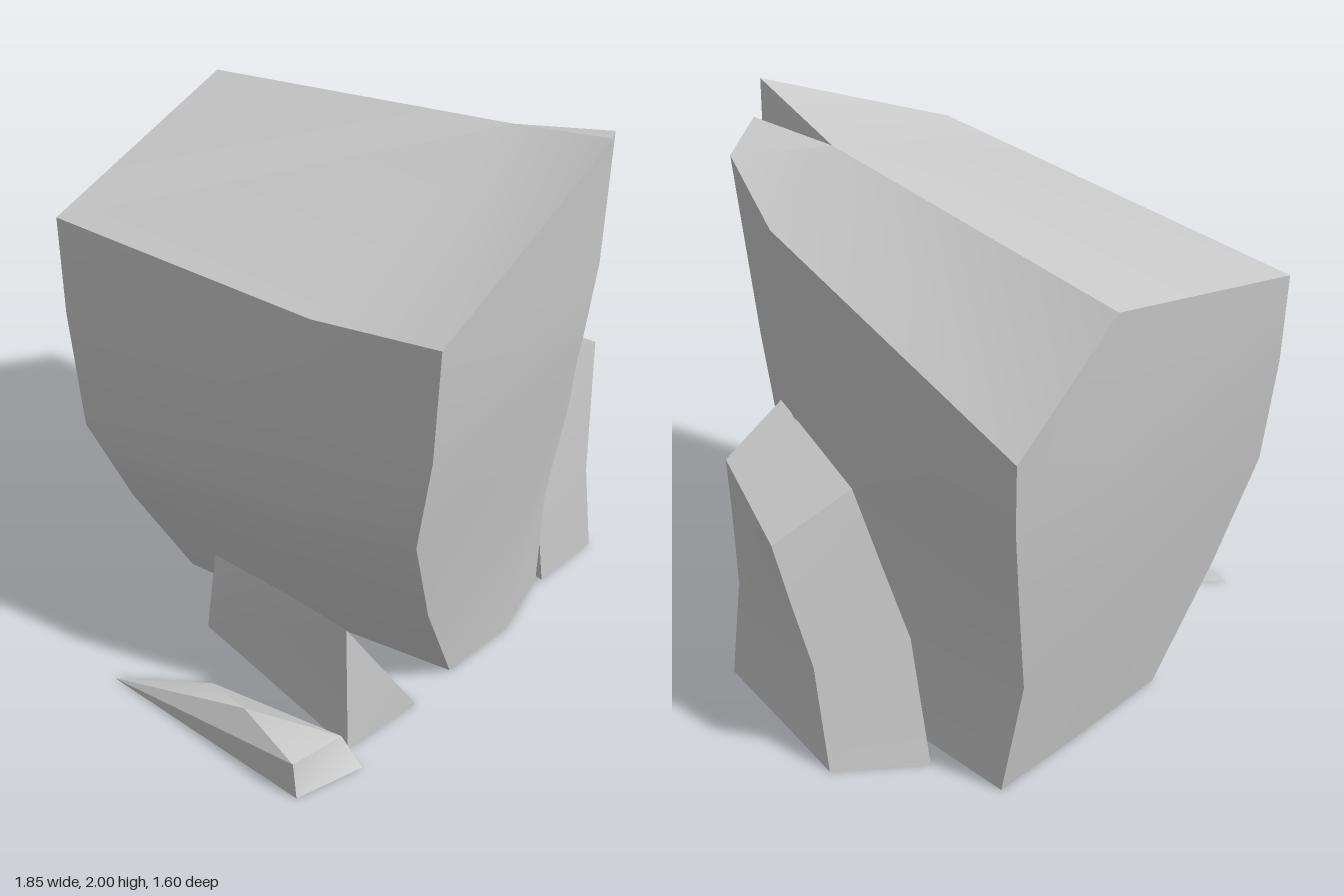
import * as THREE from 'three';
import { toCreasedNormals } from 'three/addons/utils/BufferGeometryUtils.js';

const material = new THREE.MeshStandardMaterial({ color: 0xcccccc, side: THREE.DoubleSide });

// Builds a rock from polygons, each given as a fan of corner points
function rock(name, polygons) {
  const positions = [];
  for (const p of polygons) {
    for (let i = 1; i < p.length - 1; i++) positions.push(...p[0], ...p[i], ...p[i + 1]);
  }
  const geometry = new THREE.BufferGeometry();
  geometry.setAttribute('position', new THREE.Float32BufferAttribute(positions, 3));
  const mesh = new THREE.Mesh(toCreasedNormals(geometry, 0.55), material);
  mesh.name = name;
  return mesh;
}

// Side walls between neighbouring columns, each column listed from top to bottom
function walls(columns) {
  const quads = [];
  columns.forEach((a, i) => {
    const b = columns[(i + 1) % columns.length];
    for (let k = 0; k < a.length - 1; k++) quads.push([a[k + 1], b[k + 1], b[k], a[k]]);
  });
  return quads;
}

// Tall boulder, leaning outwards, with a cleft in the front of its ridge
function mainBoulder() {
  const columns = [
    [[-0.53, 1.63, 0.72], [-0.52, 1.2, 0.69], [-0.51, 0.84, 0.63], [-0.34, 0.42, 0.57], [-0.12, 0, 0.52]],
    [[0.31, 1.52, 0.76], [0.3, 1.2, 0.72], [0.27, 0.84, 0.66], [0.22, 0.42, 0.59], [0.18, 0, 0.56]],
    [[0.54, 1.86, 0.66], [0.48, 1.2, 0.63], [0.44, 0.84, 0.61], [0.4, 0.46, 0.56], [0.47, 0, 0.5]],
    [[0.62, 1.71, 0.4], [0.58, 1.2, 0.4], [0.54, 0.84, 0.4], [0.52, 0.45, 0.38], [0.55, 0, 0.36]],
    [[0.72, 1.36, -0.73], [0.69, 1.1, -0.7], [0.64, 0.8, -0.67], [0.57, 0.42, -0.63], [0.61, 0, -0.57]],
    [[0.33, 1.73, -0.78], [0.32, 1.2, -0.76], [0.3, 0.8, -0.72], [0.25, 0.42, -0.65], [0.25, 0, -0.57]],
    [[-0.5, 1.54, -0.8], [-0.53, 1.2, -0.76], [-0.55, 0.79, -0.69], [-0.4, 0.42, -0.63], [-0.18, 0, -0.56]],
    [[-0.555, 1.58, 0.26], [-0.55, 1.2, 0.2], [-0.54, 0.81, 0.1], [-0.38, 0.42, 0], [-0.17, 0, 0]],
  ];
  const [frontLeft, cleft, frontRight, right, backRight, ridge, backLeft, left] = columns.map((c) => c[0]);
  const cleftLeft = [0.27, 2, 0.8], cleftRight = [0.36, 1.91, 0.74], cleftInner = [0.33, 1.9, 0.41];
  return rock('mainBoulder', [
    ...walls(columns),
    // front corners beside the cleft, and its two walls
    [frontLeft, cleft, cleftLeft],
    [cleft, frontRight, cleftRight],
    [cleft, cleftInner, cleftLeft],
    [cleft, cleftRight, cleftInner],
    // two sloping tops meeting at the ridge
    [cleftInner, ridge, backLeft, left, frontLeft, cleftLeft],
    [cleftInner, cleftRight, frontRight, right, backRight, ridge],
  ]);
}

// Medium block against the side
function sideBlock() {
  const columns = [
    [[0.53, 1.02, 0.49], [0.49, 0.9, 0.5], [0.42, 0.48, 0.51], [0.48, 0, 0.52]],
    [[0.76, 0.88, 0.52], [0.74, 0.68, 0.53], [0.72, 0.36, 0.54], [0.76, 0, 0.55]],
    [[0.9, 0.77, 0.16], [0.885, 0.57, 0.1], [0.87, 0.34, 0.02], [0.92, 0, -0.09]],
    [[0.65, 0.92, 0.04], [0.64, 0.7, -0.06], [0.62, 0.42, -0.18], [0.67, 0, -0.31]],
  ];
  return rock('sideBlock', [...walls(columns), columns.map((c) => c[0])]);
}

// Wedge with a ridge falling towards the back
function wedgeRock() {
  const peak = [-0.62, 0.49, 0.44], ridge = [-0.57, 0.47, 0.19], tail = [-0.33, 0.25, -0.33];
  const frontLeft = [-0.64, 0, 0.46], backLeft = [-0.42, 0, -0.3];
  const edge = [-0.44, 0.18, 0.5], frontRight = [-0.33, 0, 0.52], backRight = [-0.18, 0, -0.25];
  return rock('wedgeRock', [
    [backLeft, frontLeft, peak],
    [backLeft, peak, ridge, tail],
    [frontLeft, frontRight, edge, peak],
    [ridge, peak, edge, frontRight, backRight, tail],
    [backRight, backLeft, tail],
  ]);
}

// Low splinter lying on the ground
function splinterRock() {
  const topLeft = [-0.915, 0.13, 0.44], topRight = [-0.69, 0.1, 0.47], peak = [-0.82, 0.16, 0.17];
  const back = [-0.82, 0, -0.39], right = [-0.645, 0, -0.1];
  const frontLeft = [-0.925, 0, 0.46], frontRight = [-0.685, 0, 0.55];
  return rock('splinterRock', [
    [frontLeft, frontRight, topRight, topLeft],
    [back, frontLeft, topLeft, peak],
    [frontRight, right, topRight],
    [peak, topLeft, topRight, right, back],
  ]);
}

export function createModel() {
  const group = new THREE.Group();
  group.name = 'rockFormation';
  group.add(mainBoulder(), sideBlock(), wedgeRock(), splinterRock());
  return group;
}
